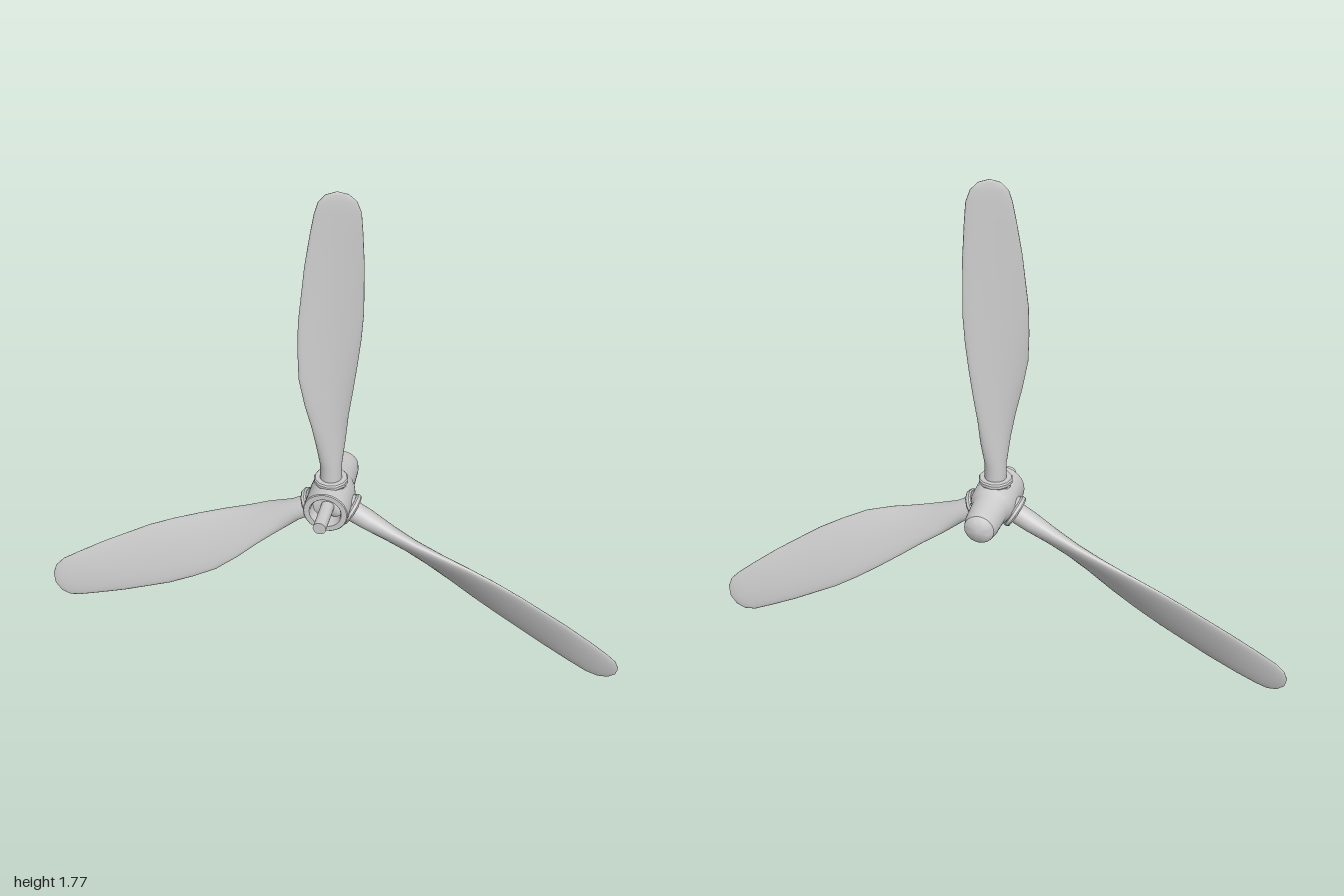
import * as THREE from 'three';
import { toCreasedNormals } from 'three/addons/utils/BufferGeometryUtils.js';

const material = new THREE.MeshStandardMaterial({ color: 0xcccccc, side: THREE.DoubleSide });

function addMesh(parent, name, geometry) {
  const mesh = new THREE.Mesh(geometry, material);
  mesh.name = name;
  parent.add(mesh);
  return mesh;
}

// Turned part from [radius, height] pairs, with crisp edges
function turned(profile, sides) {
  const points = profile.map(([r, h]) => new THREE.Vector2(r, h));
  return toCreasedNormals(new THREE.LatheGeometry(points, sides), 0.6);
}

// Blade sections: distance from hub, half chord, half thickness, pitch, chord offset
const SECTIONS = [
  [0.05, 0.036, 0.036, 50, 0],
  [0.14, 0.037, 0.034, 50, 0],
  [0.23, 0.056, 0.027, 48, 0],
  [0.31, 0.069, 0.023, 45, -0.004],
  [0.40, 0.086, 0.021, 40, -0.008],
  [0.50, 0.100, 0.019, 35, -0.01],
  [0.60, 0.105, 0.018, 31, -0.005],
  [0.70, 0.106, 0.016, 28, 0],
  [0.89, 0.093, 0.014, 22, 0.01],
  [1.00, 0.081, 0.012, 18, 0.016],
  [1.07, 0.072, 0.011, 16, 0.02],
  [1.11, 0.059, 0.009, 15, 0.019],
  [1.135, 0.035, 0.006, 14, 0.018],
  [1.145, 0.001, 0.001, 14, 0.018],
];

// Twisted blade lofted through elliptical sections along +y
function bladeGeometry(sides = 28) {
  const positions = [], index = [];
  SECTIONS.forEach(([r, chord, thick, pitch, offset], i) => {
    const p = THREE.MathUtils.degToRad(pitch);
    for (let j = 0; j < sides; j++) {
      const a = (j / sides) * Math.PI * 2;
      const u = offset + chord * Math.cos(a);
      const n = thick * Math.sin(a);
      positions.push(u * Math.cos(p) + n * Math.sin(p), r, -u * Math.sin(p) + n * Math.cos(p));
      if (i === 0) continue;
      const k = (j + 1) % sides, lo = (i - 1) * sides, hi = i * sides;
      index.push(lo + j, hi + j, lo + k, lo + k, hi + j, hi + k);
    }
  });
  const geometry = new THREE.BufferGeometry();
  geometry.setAttribute('position', new THREE.Float32BufferAttribute(positions, 3));
  geometry.setIndex(index);
  geometry.computeVertexNormals();
  return geometry;
}

export function createModel() {
  const model = new THREE.Group();
  model.name = 'propeller';
  const rotor = new THREE.Group();
  rotor.name = 'rotor';
  rotor.position.set(0.004, 0.62, 0);
  model.add(rotor);

  // Hub body: domed at the back, recessed at the front
  const hub = turned([
    [0, -0.193], [0.035, -0.184], [0.05, -0.172], [0.056, -0.145], [0.06, -0.06],
    [0.068, -0.04], [0.075, -0.015], [0.075, 0.104], [0.072, 0.107],
    [0.054, 0.107], [0.05, 0.1], [0.05, 0.05], [0, 0.05],
  ], 24);
  hub.rotateX(Math.PI / 2);
  addMesh(rotor, 'hub', hub);

  // Drive shaft
  const shaft = turned([[0, 0.04], [0.022, 0.04], [0.022, 0.19], [0, 0.19]], 16);
  shaft.rotateX(Math.PI / 2);
  addMesh(rotor, 'shaft', shaft);

  // Three arms, each with a socket, collar and blade
  const blade = bladeGeometry();
  const socket = turned([[0, 0], [0.053, 0], [0.05, 0.07], [0.044, 0.085], [0, 0.085]], 16);
  const collar = turned([
    [0.036, 0.066], [0.053, 0.066], [0.057, 0.071], [0.057, 0.081], [0.053, 0.086], [0.036, 0.086],
  ], 12);
  for (let i = 0; i < 3; i++) {
    const arm = new THREE.Group();
    arm.name = 'bladeArm' + (i + 1);
    arm.position.z = 0.02;
    arm.rotation.z = (i * Math.PI * 2) / 3;
    addMesh(arm, 'socket', socket);
    addMesh(arm, 'collar', collar);
    addMesh(arm, 'blade', blade);
    rotor.add(arm);
  }
  return model;
}
